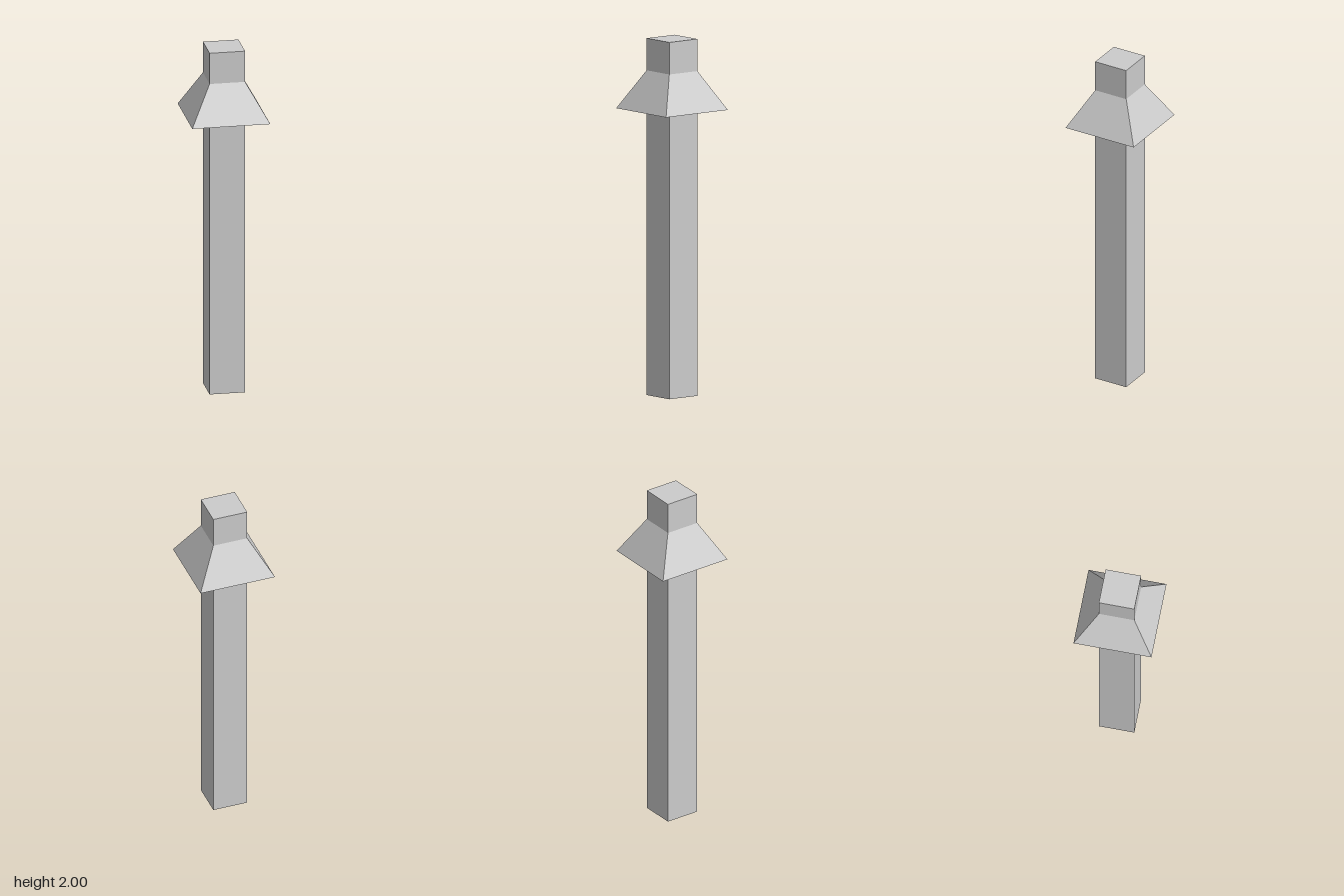
import * as THREE from 'three';

const POST = 0.1;      // half width of the post
const FLARE = 0.22;    // half width of the collar's lower edge
const COLLAR_LOW = 1.605;
const COLLAR_HIGH = 1.82;
const TOP = 2;

// Square section swept around y; profile is [half width, height], bottom to top
function squarePart(name, profile, material) {
  const points = profile.map(([half, y]) => new THREE.Vector2(half * Math.SQRT2, y));
  const mesh = new THREE.Mesh(new THREE.LatheGeometry(points, 4, Math.PI / 4), material);
  mesh.name = name;
  return mesh;
}

export function createModel() {
  const group = new THREE.Group();
  group.name = 'post';
  const material = new THREE.MeshStandardMaterial({ color: 0xcccccc, flatShading: true });

  group.add(
    // Long shaft with a closed foot
    squarePart('shaft', [[0, 0], [POST, 0], [POST, COLLAR_LOW]], material),
    // Flared collar: flat underside, then sloping sides
    squarePart('collar', [[POST, COLLAR_LOW], [FLARE, COLLAR_LOW], [POST, COLLAR_HIGH]], material),
    // Short square head with a closed top
    squarePart('head', [[POST, COLLAR_HIGH], [POST, TOP], [0, TOP]], material),
  );
  return group;
}
